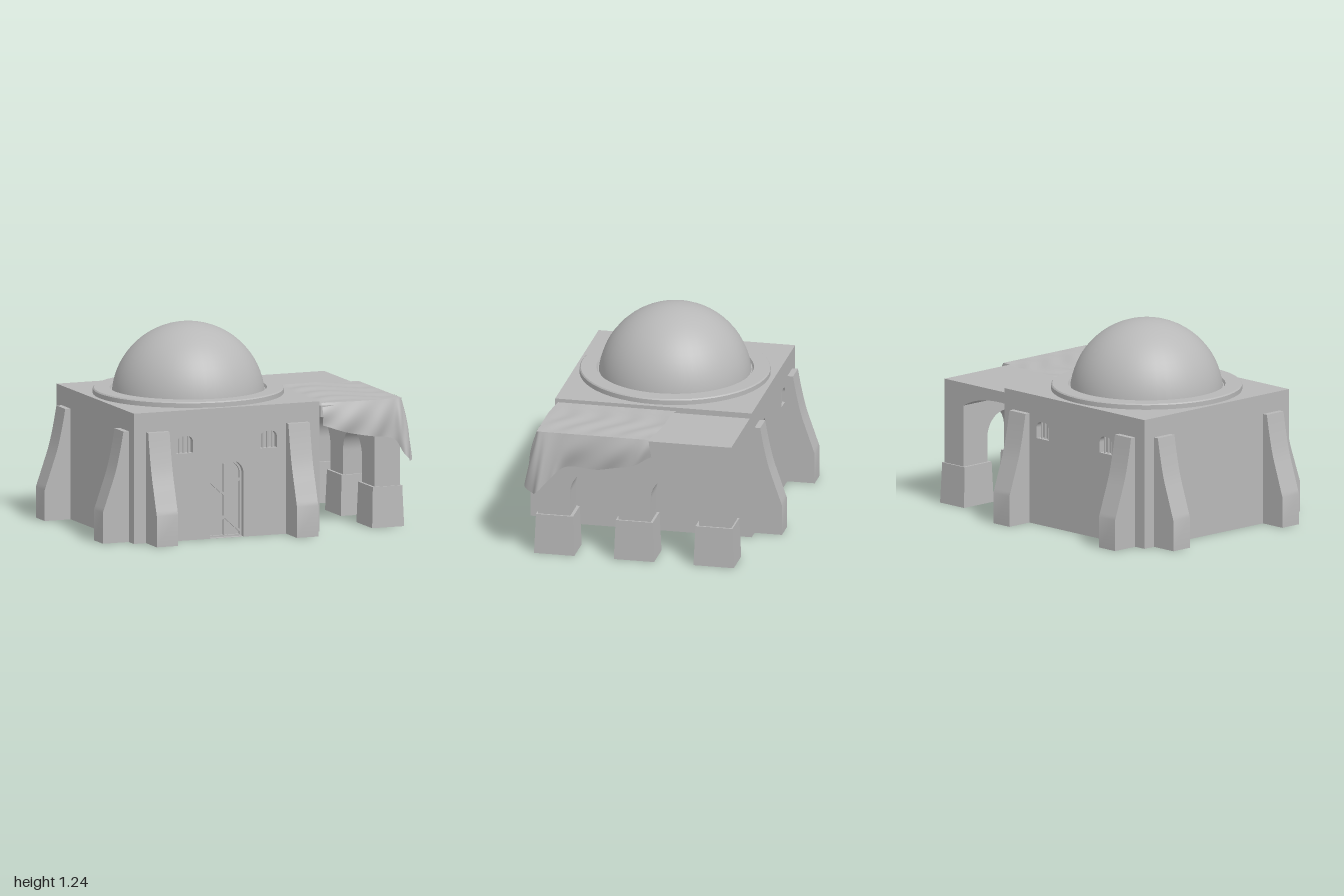
import * as THREE from 'three';
import { toCreasedNormals } from 'three/addons/utils/BufferGeometryUtils.js';

const plaster = new THREE.MeshStandardMaterial({ color: 0xb8b8b8, side: THREE.DoubleSide });
plaster.name = 'grey plaster';

function add(parent, name, geometry, x = 0, y = 0, z = 0) {
  const mesh = new THREE.Mesh(geometry, plaster);
  mesh.name = name;
  mesh.position.set(x, y, z);
  parent.add(mesh);
  return mesh;
}

const box = (w, h, d) => new THREE.BoxGeometry(w, h, d);

// Opening with a flat sill and rounded upper corners, centred on x
function archOutline(Type, cx, y0, w, h, r) {
  const p = new Type(), a = cx - w / 2, b = cx + w / 2, top = y0 + h;
  p.moveTo(a, y0);
  p.lineTo(b, y0);
  p.lineTo(b, top - r);
  p.absarc(b - r, top - r, r, 0, Math.PI / 2, false);
  p.absarc(a + r, top - r, r, Math.PI / 2, Math.PI, false);
  p.lineTo(a, y0);
  return p;
}

function extrude(shape, depth) {
  return new THREE.ExtrudeGeometry(shape, { depth, bevelEnabled: false, curveSegments: 16 });
}

// Surface from a rule fn(u, v) -> Vector3
function gridSurface(nu, nv, fn) {
  const pos = [], idx = [];
  for (let j = 0; j <= nv; j++)
    for (let i = 0; i <= nu; i++) pos.push(...fn(i / nu, j / nv).toArray());
  for (let j = 0; j < nv; j++)
    for (let i = 0; i < nu; i++) {
      const a = j * (nu + 1) + i, b = a + nu + 1;
      idx.push(a, b, a + 1, b, b + 1, a + 1);
    }
  const g = new THREE.BufferGeometry();
  g.setAttribute('position', new THREE.Float32BufferAttribute(pos, 3));
  g.setIndex(idx);
  g.computeVertexNormals();
  return g;
}

const WINDOWS = [-0.275, 0.275], DOOR = [0, 0, 0.22, 0.47, 0.08];

// Front or back wall in its own frame, outer face at z = 0
function makeWall(name, withDoor) {
  const wall = new THREE.Group();
  wall.name = name;
  const face = new THREE.Shape();
  face.moveTo(-0.61, 0);
  if (withDoor) {
    // The doorway is cut from the bottom edge
    face.lineTo(-0.11, 0);
    face.lineTo(-0.11, 0.39);
    face.absarc(-0.03, 0.39, 0.08, Math.PI, Math.PI / 2, true);
    face.absarc(0.03, 0.39, 0.08, Math.PI / 2, 0, true);
    face.lineTo(0.11, 0);
  }
  face.lineTo(0.61, 0);
  face.lineTo(0.61, 0.8);
  face.lineTo(-0.61, 0.8);
  for (const x of WINDOWS) face.holes.push(archOutline(THREE.Path, x, 0.535, 0.11, 0.105, 0.04));
  add(wall, 'wallFace', new THREE.ShapeGeometry(face, 16));

  // Recessed windows with bars
  for (const x of WINDOWS) {
    const lining = archOutline(THREE.Shape, x, 0.53, 0.12, 0.115, 0.045);
    lining.holes.push(archOutline(THREE.Path, x, 0.535, 0.11, 0.105, 0.04));
    add(wall, 'windowLining', extrude(lining, 0.039), 0, 0, -0.04);
    add(wall, 'windowBack', new THREE.ShapeGeometry(archOutline(THREE.Shape, x, 0.53, 0.12, 0.115, 0.045)), 0, 0, -0.04);
    for (const dx of [-0.03, 0, 0.03])
      add(wall, 'windowBar', new THREE.CylinderGeometry(0.007, 0.007, 0.106, 8), x + dx, 0.587, -0.022);
  }

  if (withDoor) {
    const lining = archOutline(THREE.Shape, 0, 0, 0.23, 0.475, 0.085);
    lining.holes.push(archOutline(THREE.Path, 0, 0.001, 0.22, 0.469, 0.08));
    add(wall, 'doorLining', extrude(lining, 0.049), 0, 0, -0.05);
    add(wall, 'doorPanel', new THREE.ShapeGeometry(archOutline(THREE.Shape, ...DOOR)), 0, 0, -0.05);
    const frame = archOutline(THREE.Shape, ...DOOR);
    frame.holes.push(archOutline(THREE.Path, 0, 0.012, 0.196, 0.446, 0.07));
    add(wall, 'doorFrame', extrude(frame, 0.015), 0, 0, -0.05);
    add(wall, 'doorPost', box(0.012, 0.44, 0.01), 0, 0.23, -0.045);
    for (const s of [-1, 1])
      for (const y of [0.305, 0.08]) {
        const brace = add(wall, 'doorBrace', box(0.14, 0.014, 0.012), s * 0.05, y, -0.044);
        brace.rotation.z = s * (y > 0.2 ? 0.74 : -0.74);
      }
  }
  return wall;
}

// Sloped buttress: profile reaches out along +x, extruded to its width
function buttressGeometry() {
  const p = new THREE.Shape();
  p.moveTo(-0.01, 0);
  p.lineTo(0.17, 0);
  p.lineTo(0.17, 0.19);
  p.splineThru([[0.125, 0.32], [0.085, 0.44], [0.055, 0.57], [0.035, 0.68]].map(a => new THREE.Vector2(...a)));
  p.lineTo(-0.01, 0.68);
  const g = new THREE.ExtrudeGeometry(p, { depth: 0.14, bevelEnabled: false, curveSegments: 3 });
  return toCreasedNormals(g.translate(0, 0, -0.07), 0.5);
}

function makePortico() {
  const portico = new THREE.Group();
  portico.name = 'portico';

  // Arcade wall with two round arches
  const s = new THREE.Shape();
  s.moveTo(-0.6, 0);
  for (const c of [-0.25, 0.25]) {
    s.lineTo(c - 0.15, 0);
    s.lineTo(c - 0.15, 0.4);
    s.absarc(c, 0.4, 0.15, Math.PI, 0, true);
    s.lineTo(c + 0.15, 0);
  }
  s.lineTo(0.6, 0);
  s.lineTo(0.6, 0.77);
  s.lineTo(-0.6, 0.77);
  const arcade = toCreasedNormals(extrude(s, 0.165).rotateY(Math.PI / 2), 0.5);
  add(portico, 'arcade', arcade, 0.755);

  // Beams that tie the end pillars to the house
  const b = new THREE.Shape();
  b.moveTo(0.4, 0.77);
  b.lineTo(0.4, 0.7);
  b.quadraticCurveTo(0.62, 0.71, 0.755, 0.63);
  b.lineTo(0.755, 0.77);
  for (const z of [-0.6, 0.4]) add(portico, 'endBeam', toCreasedNormals(extrude(b, 0.2), 0.5), 0, 0, z);
  add(portico, 'porticoRoof', box(0.355, 0.05, 0.8), 0.5775, 0.745, 0);

  // Tapered pillar bases
  const base = new THREE.CylinderGeometry(0.23 * Math.SQRT1_2, 0.25 * Math.SQRT1_2, 0.25, 4);
  base.rotateY(Math.PI / 4).scale(0.84, 1, 1);
  const flat = toCreasedNormals(base, 0.3);
  for (const z of [-0.495, 0, 0.495]) add(portico, 'pillarBase', flat, 0.835, 0.125, z);
  return portico;
}

function makeAwning() {
  const awning = new THREE.Group();
  awning.name = 'clothAwning';
  const curve = pts => new THREE.CatmullRomCurve3(pts.map(p => new THREE.Vector3(...p)));
  // Upper edge and hanging hem, from the house round the front corner
  const rim = curve([[0.41, 0.785, 0.585], [0.58, 0.785, 0.6], [0.75, 0.785, 0.605], [0.87, 0.785, 0.607],
    [0.915, 0.785, 0.605], [0.93, 0.785, 0.595], [0.935, 0.785, 0.56], [0.935, 0.785, 0.43],
    [0.935, 0.785, 0.2], [0.935, 0.785, 0], [0.935, 0.785, -0.09]]);
  const hem = curve([[0.41, 0.65, 0.62], [0.58, 0.595, 0.635], [0.75, 0.565, 0.64], [0.87, 0.54, 0.635],
    [0.93, 0.44, 0.675], [0.99, 0.4, 0.615], [0.985, 0.47, 0.54], [0.945, 0.565, 0.44],
    [0.945, 0.575, 0.2], [0.955, 0.62, 0], [0.945, 0.68, -0.11]]);
  add(awning, 'hangingCloth', gridSurface(110, 14, (u, v) => {
    const p = rim.getPoint(u).lerp(hem.getPoint(u), v);
    const bulge = 0.012 * Math.sin(Math.PI * v) + 0.009 * v * Math.sin(u * 52 + v * 5);
    const turn = THREE.MathUtils.smoothstep(u, 0.35, 0.6) * Math.PI / 2;
    p.x += bulge * Math.sin(turn);
    p.z += bulge * Math.cos(turn);
    return p;
  }));
  // Gently rippled sheet lying on the roof
  add(awning, 'roofCloth', gridSurface(24, 36, (u, v) => {
    const edge = Math.min(1, 8 * Math.min(u, 1 - u, 1 - v));
    return new THREE.Vector3(0.41 + 0.525 * u,
      0.785 + 0.004 * edge * Math.sin(v * 24 + 3 * Math.sin(u * 5)),
      THREE.MathUtils.lerp(-0.145 + 0.05 * u + 0.006 * Math.sin(u * 9), 0.588 + 0.018 * Math.min(1, u * 3), v));
  }));
  return awning;
}

export function createModel() {
  const model = new THREE.Group();
  model.name = 'domedHouse';
  const house = new THREE.Group();
  house.name = 'house';
  house.position.x = -0.22;
  model.add(house);

  // Open-bottomed shell
  const front = makeWall('frontWall', true);
  front.position.z = 0.61;
  const back = makeWall('backWall', false);
  back.position.z = -0.61;
  back.rotation.y = Math.PI;
  house.add(front, back);
  for (const s of [-1, 1]) {
    const side = add(house, 'sideWall', new THREE.PlaneGeometry(1.22, 0.8), s * 0.61, 0.4, 0);
    side.rotation.y = s * Math.PI / 2;
  }
  add(house, 'roof', new THREE.PlaneGeometry(1.22, 1.22).rotateX(-Math.PI / 2), 0, 0.8, 0);

  // Ring and dome
  const ring = [[0.58, 0.795], [0.58, 0.828], [0.573, 0.835], [0.478, 0.835], [0.47, 0.82], [0.45, 0.82]];
  const ringGeo = new THREE.LatheGeometry(ring.map(p => new THREE.Vector2(...p)), 48);
  add(house, 'domeRing', toCreasedNormals(ringGeo, 0.5));
  const dome = new THREE.SphereGeometry(0.466, 40, 16, 0, Math.PI * 2, 0, Math.PI * 0.48);
  add(house, 'dome', dome, 0, 0.769, 0);

  // Buttresses on the front, back and right walls
  const buttress = buttressGeometry();
  for (const o of [-0.46, 0.46]) {
    add(house, 'frontButtress', buttress, o, 0, 0.61).rotation.y = -Math.PI / 2;
    add(house, 'backButtress', buttress, o, 0, -0.61).rotation.y = Math.PI / 2;
    add(house, 'sideButtress', buttress, -0.61, 0, o).rotation.y = Math.PI;
  }

  model.add(makePortico(), makeAwning());
  return model;
}
